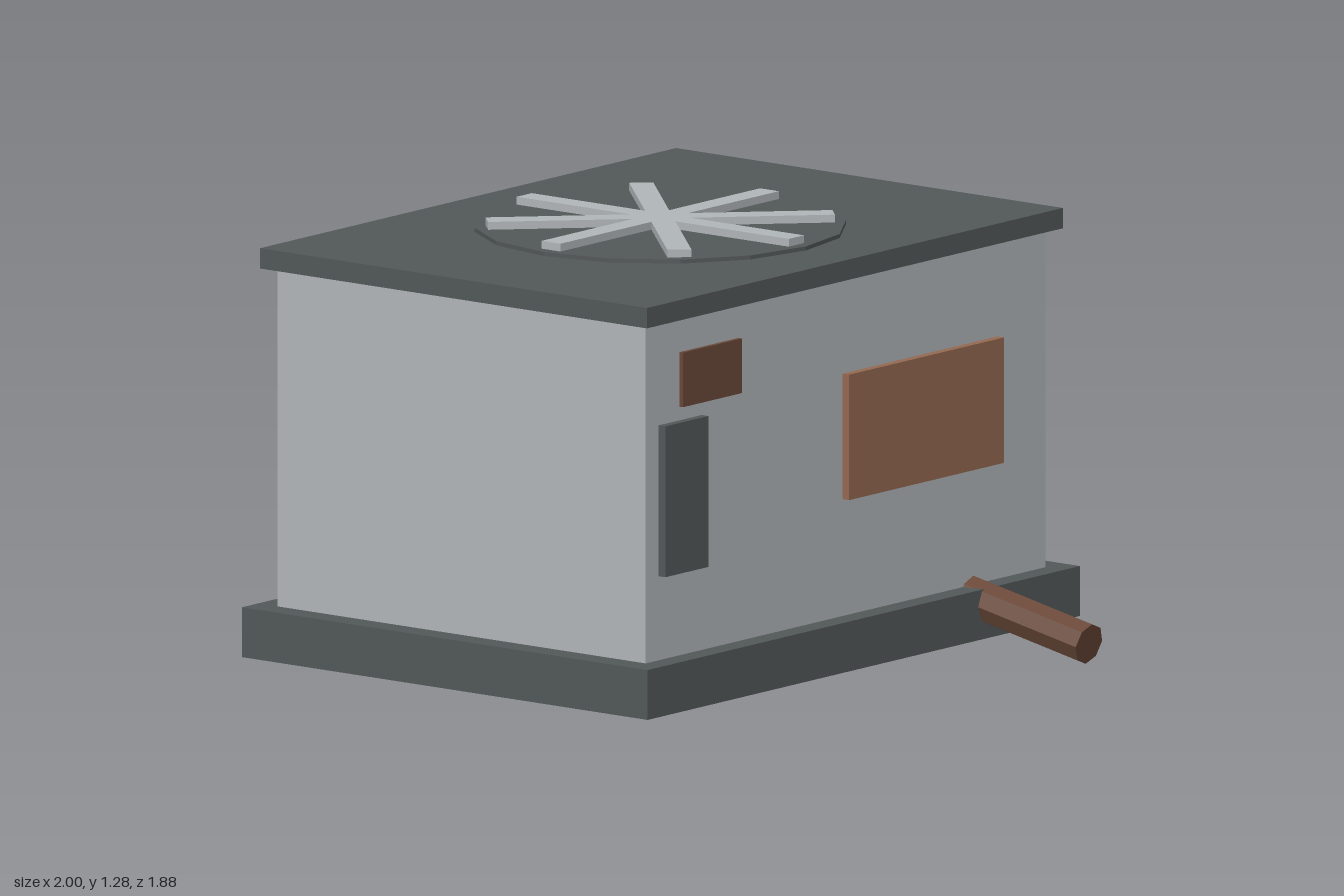
import * as THREE from 'three';

function material(name, color) {
  const m = new THREE.MeshStandardMaterial({ color });
  m.name = name;
  return m;
}

export function createModel() {
  const model = new THREE.Group();
  model.name = 'machineCabin';
  const wallGrey = material('pale grey', 0xb0b5b8);
  const darkGrey = material('dark grey', 0x525757);
  const copper = material('copper', 0x946851);
  const brown = material('brown', 0x694737);

  const add = (name, geometry, mat) => {
    const mesh = new THREE.Mesh(geometry, mat);
    mesh.name = name;
    model.add(mesh);
    return mesh;
  };
  // Box given by its low and high limits on each axis
  const box = (name, mat, x0, x1, y0, y1, z0, z1) => {
    const mesh = add(name, new THREE.BoxGeometry(x1 - x0, y1 - y0, z1 - z0), mat);
    mesh.position.set((x0 + x1) / 2, (y0 + y1) / 2, (z0 + z1) / 2);
    return mesh;
  };

  // Housing
  box('base', darkGrey, -1, 1, 0.04, 0.187, -0.94, 0.565);
  box('body', wallGrey, -0.925, 0.925, 0.187, 1.185, -0.868, 0.498);
  box('roof', darkGrey, -0.962, 0.962, 1.185, 1.245, -0.903, 0.532);

  // Wall panels
  box('frontWindow', copper, -0.015, 0.702, 0.532, 0.902, 0.498, 0.523);
  box('frontDoor', darkGrey, -0.865, 0.0 - 0.666, 0.435, 0.88, 0.498, 0.523);
  box('frontSign', brown, -0.78, -0.507, 0.923, 1.084, 0.507, 0.52);
  box('backPanel', brown, -0.838, -0.448, 0.375, 0.595, -0.888, -0.868);

  // Roof fan: a disc with four crossed bars
  const fanZ = -0.19;
  const disc = add('fanDisc', new THREE.CylinderGeometry(0.541, 0.541, 0.012, 16).toNonIndexed(), darkGrey);
  disc.geometry.computeVertexNormals();
  disc.position.set(0, 1.251, fanZ);
  for (let i = 0; i < 4; i++) {
    const bar = add('fanBar' + (i + 1), new THREE.BoxGeometry(1.01, 0.024, 0.07), wallGrey);
    bar.position.set(0, 1.268, fanZ);
    bar.rotation.y = (i * Math.PI) / 4;
  }

  // Drain pipe sloping down out of the front wall
  const pipeGeometry = new THREE.CylinderGeometry(0.061, 0.061, 0.5, 8).rotateX(Math.PI / 2).toNonIndexed();
  pipeGeometry.computeVertexNormals();
  const pipe = add('drainPipe', pipeGeometry, brown);
  pipe.rotation.x = 0.2;
  pipe.position.set(0.59, 0.114, 0.682);

  return model;
}
